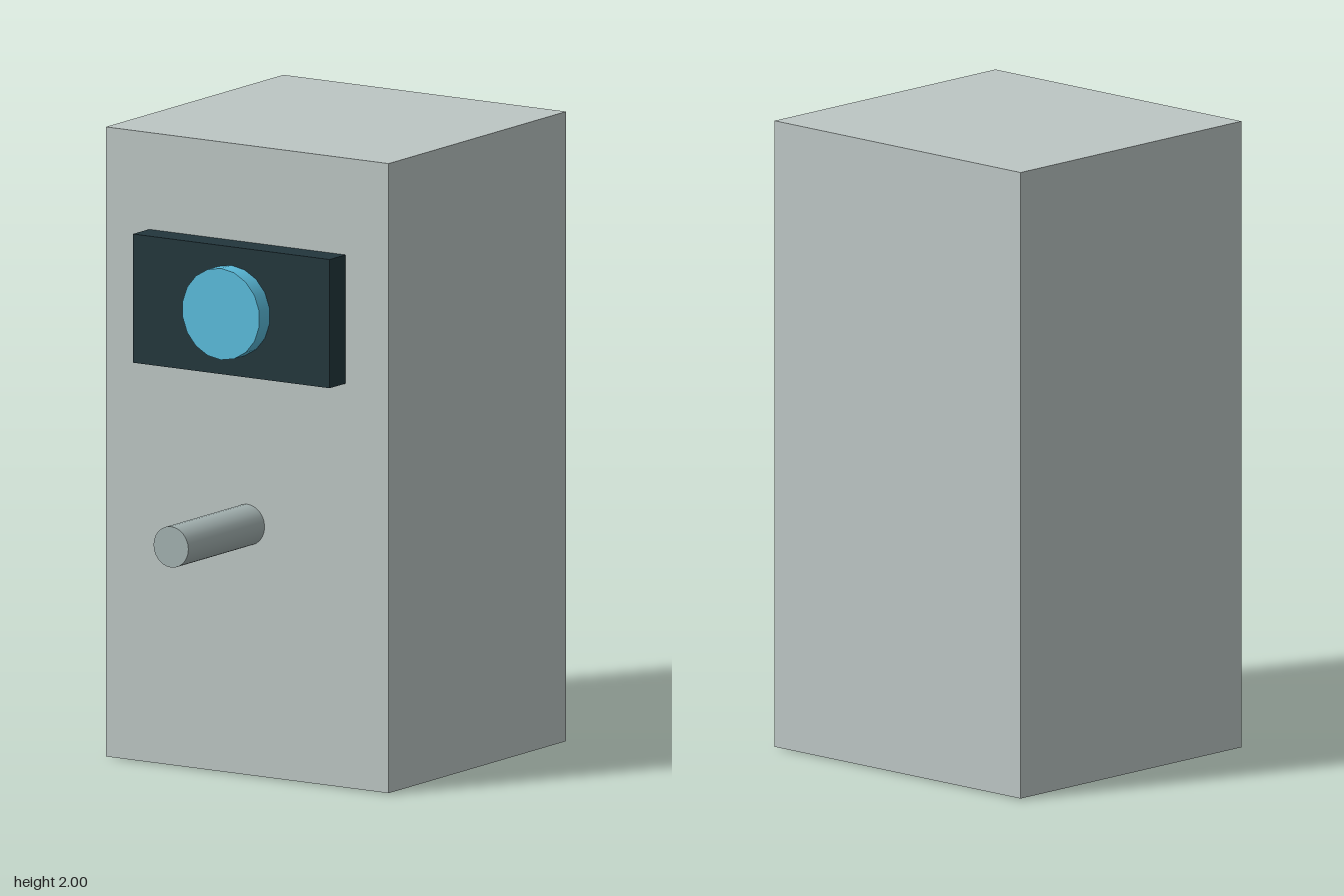
import * as THREE from 'three';

const material = (color) => new THREE.MeshStandardMaterial({ color });

export function createModel() {
  const model = new THREE.Group();
  const grey = material(0xbcc6c4);
  const dark = material(0x22363c);

  const add = (name, geometry, mat, x, y, z) => {
    const mesh = new THREE.Mesh(geometry, mat);
    mesh.name = name;
    mesh.position.set(x, y, z);
    model.add(mesh);
  };

  // Box spanning the given limits, centred on x
  const box = (name, width, y0, y1, z0, z1, mat) =>
    add(name, new THREE.BoxGeometry(width, y1 - y0, z1 - z0), mat, 0, (y0 + y1) / 2, (z0 + z1) / 2);

  // Cylinder lying along z, from z0 to z1
  const rod = (name, radius, sides, y, z0, z1, mat) =>
    add(name, new THREE.CylinderGeometry(radius, radius, z1 - z0, sides).rotateX(Math.PI / 2),
      mat, 0, y, (z0 + z1) / 2);

  // Cabinet and the dark plate let into its underside
  box('cabinet', 1.056, 0.004, 2, -0.712, 0.284, grey);
  box('basePlate', 0.82, 0, 0.02, -0.447, 0.258, dark);

  // Front panel with its round blue lens
  box('frontPanel', 0.735, 1.285, 1.693, 0.28, 0.374, dark);
  rod('lens', 0.145, 18, 1.489, 0.37, 0.432, material(0x5bbcdc));

  // Rod sticking out of the front
  rod('frontRod', 0.065, 24, 0.797, 0.27, 0.712, material(0xa3b1b0));

  return model;
}
